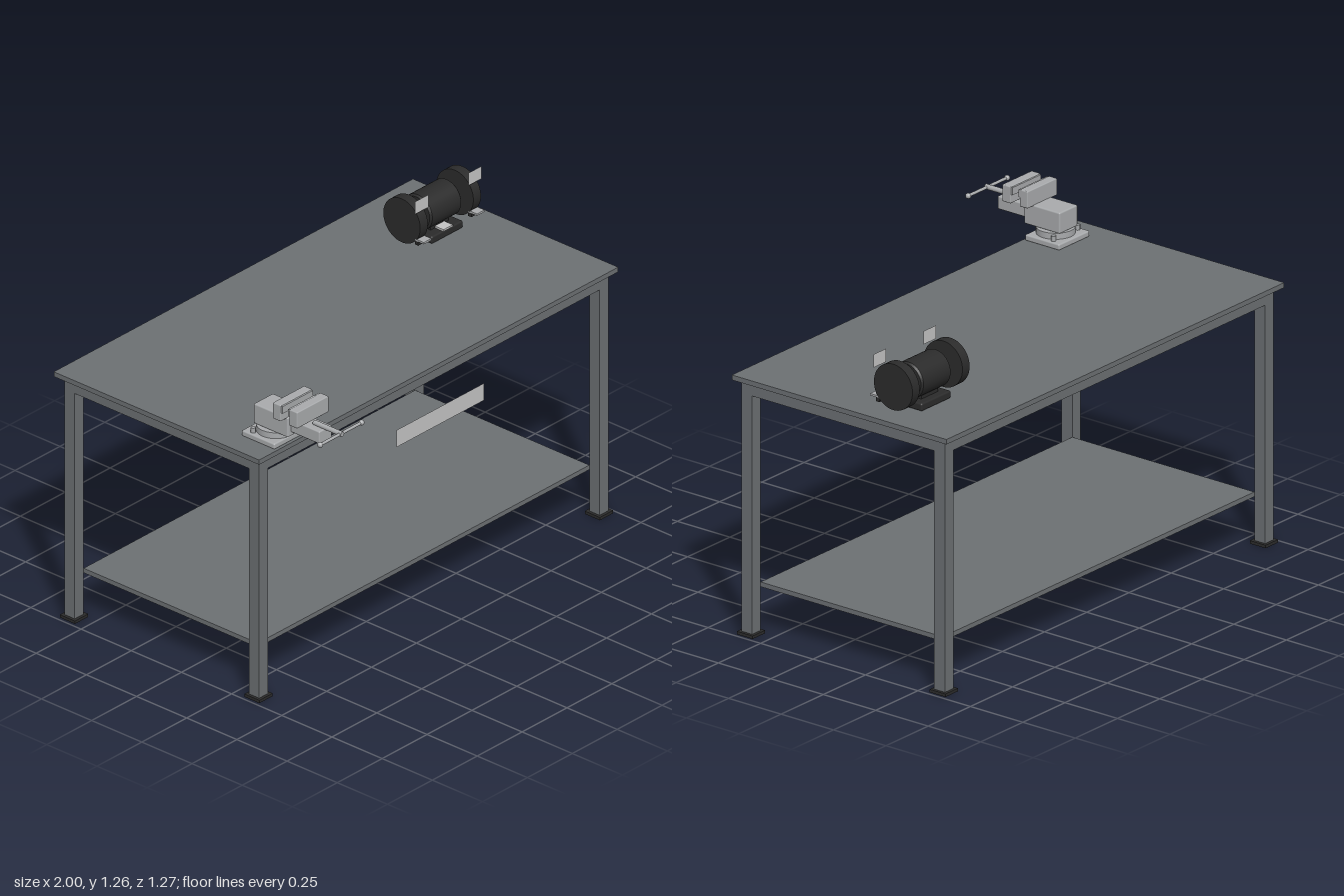
import * as THREE from 'three';
import { RoundedBoxGeometry } from 'three/addons/geometries/RoundedBoxGeometry.js';

const mat = (name, color, side = THREE.FrontSide) => {
  const m = new THREE.MeshStandardMaterial({ color, side });
  m.name = name;
  return m;
};

export function createModel() {
  const steel = mat('painted steel', 0x6c7073);
  const black = mat('black', 0x2b2b2b);
  const metal = mat('vise metal', 0xa9abad);
  const clear = mat('pale plate', 0xc4c4c4, THREE.DoubleSide);

  const model = new THREE.Group();
  model.name = 'workbench';

  const group = (name) => {
    const g = new THREE.Group();
    g.name = name;
    model.add(g);
    return g;
  };
  const add = (parent, name, geometry, material, x, y, z) => {
    const mesh = new THREE.Mesh(geometry, material);
    mesh.name = name;
    mesh.position.set(x, y, z);
    parent.add(mesh);
    return mesh;
  };
  // Box given by its lower and upper limits on each axis, optionally rounded
  const box = (parent, name, material, [x0, x1], [y0, y1], [z0, z1], r = 0) => {
    const s = [x1 - x0, y1 - y0, z1 - z0];
    const geo = r ? new RoundedBoxGeometry(...s, 2, r) : new THREE.BoxGeometry(...s);
    return add(parent, name, geo, material, (x0 + x1) / 2, (y0 + y1) / 2, (z0 + z1) / 2);
  };
  // Cylinder lying along x or z, or standing along y
  const rod = (parent, name, material, axis, r, length, x, y, z, sides = 24) => {
    const geo = new THREE.CylinderGeometry(r, r, length, sides);
    if (axis === 'x') geo.rotateZ(Math.PI / 2);
    if (axis === 'z') geo.rotateX(Math.PI / 2);
    return add(parent, name, geo, material, x, y, z);
  };

  // Bench: top, shelf, legs with feet, and the frame of rails
  const bench = group('bench');
  box(bench, 'benchTop', steel, [-1, 1], [1.02, 1.04], [-0.636, 0.387]);
  box(bench, 'shelf', steel, [-0.923, 0.923], [0.187, 0.206], [-0.556, 0.312]);
  const legZ = [[0.312, 0.363], [-0.607, -0.556]];
  for (const s of [-1, 1]) {
    const legX = s < 0 ? [-0.973, -0.923] : [0.923, 0.973];
    for (const [z0, z1] of legZ) {
      box(bench, 'leg', steel, legX, [0.012, 1.02], [z0, z1]);
      box(bench, 'foot', black, [legX[0] - 0.012, legX[1] + 0.012], [0, 0.012], [z0 - 0.012, z1 + 0.012]);
    }
    box(bench, 'sideRail', steel, legX, [0.966, 1.02], [-0.556, 0.312]);
  }
  for (const z of legZ) box(bench, 'longRail', steel, [-0.923, 0.923], [0.966, 1.02], z);

  // Plate hanging at the front
  add(model, 'frontPlate', new THREE.PlaneGeometry(0.486, 0.072), clear, -0.002, 0.826, 0.397);

  // Vise
  const vise = group('vise');
  const vx = -0.813;
  const span = (half) => [vx - half, vx + half];
  box(vise, 'viseBase', metal, span(0.091), [1.04, 1.064], [0.213, 0.377], 0.006);
  rod(vise, 'swivelDisc', metal, 'y', 0.074, 0.025, vx, 1.076, 0.303, 32);
  for (const s of [-1, 1]) rod(vise, 'clampBolt', metal, 'y', 0.01, 0.022, vx + s * 0.072, 1.073, 0.255, 6);
  box(vise, 'viseBody', metal, span(0.054), [1.088, 1.172], [0.24, 0.411], 0.006);
  box(vise, 'slide', metal, span(0.036), [1.105, 1.157], [0.405, 0.552], 0.005);
  box(vise, 'fixedJaw', metal, span(0.088), [1.168, 1.236], [0.366, 0.405], 0.004);
  box(vise, 'movingJaw', metal, span(0.088), [1.168, 1.236], [0.447, 0.488], 0.004);
  box(vise, 'jawFace', metal, span(0.084), [1.203, 1.233], [0.404, 0.412]);
  box(vise, 'jawFace', metal, span(0.084), [1.203, 1.233], [0.44, 0.448]);
  rod(vise, 'screw', metal, 'z', 0.01, 0.14, vx, 1.163, 0.565);
  rod(vise, 'handle', metal, 'x', 0.006, 0.23, vx, 1.163, 0.627, 16);
  for (const s of [-1, 1]) {
    add(vise, 'handleKnob', new THREE.SphereGeometry(0.011, 16, 12), metal, vx + s * 0.115, 1.163, 0.627);
  }

  // Bench grinder
  const grinder = group('grinder');
  const gx = 0.756, gy = 1.147, gz = -0.322;
  box(grinder, 'grinderBase', black, [gx - 0.087, gx + 0.087], [1.04, 1.071], [-0.392, -0.245], 0.007);
  box(grinder, 'neck', black, [gx - 0.05, gx + 0.05], [1.065, 1.1], [-0.36, -0.285]);
  box(grinder, 'switchPlate', clear, [gx - 0.026, gx + 0.026], [1.071, 1.079], [-0.29, -0.242]);
  // Motor housing with bevelled ends
  const profile = [[0, -0.087], [0.066, -0.087], [0.073, -0.08], [0.073, 0.08], [0.066, 0.087], [0, 0.087]];
  const segments = profile.slice(1).map((p, i) => [profile[i], p]);
  for (const pair of segments) {
    const geo = new THREE.LatheGeometry(pair.map(([r, h]) => new THREE.Vector2(r, h)), 40);
    add(grinder, 'motor', geo.rotateZ(Math.PI / 2), black, gx, gy, gz);
  }
  rod(grinder, 'shaft', metal, 'x', 0.007, 0.27, gx, gy + 0.004, gz, 16);
  for (const s of [-1, 1]) {
    const x = gx + s * 0.148;
    rod(grinder, 'wheel', black, 'x', 0.092, 0.042, x, gy, gz, 48);
    add(grinder, 'eyeShield', new THREE.PlaneGeometry(0.073, 0.053), clear, x, 1.236, -0.241);
    box(grinder, 'toolRest', metal, [x - 0.021, x + 0.021], [1.086, 1.094], [-0.256, -0.212]);
    box(grinder, 'restBracket', black, [x - 0.021, x + 0.021], [1.07, 1.087], [-0.256, -0.24]);
  }
  return model;
}
